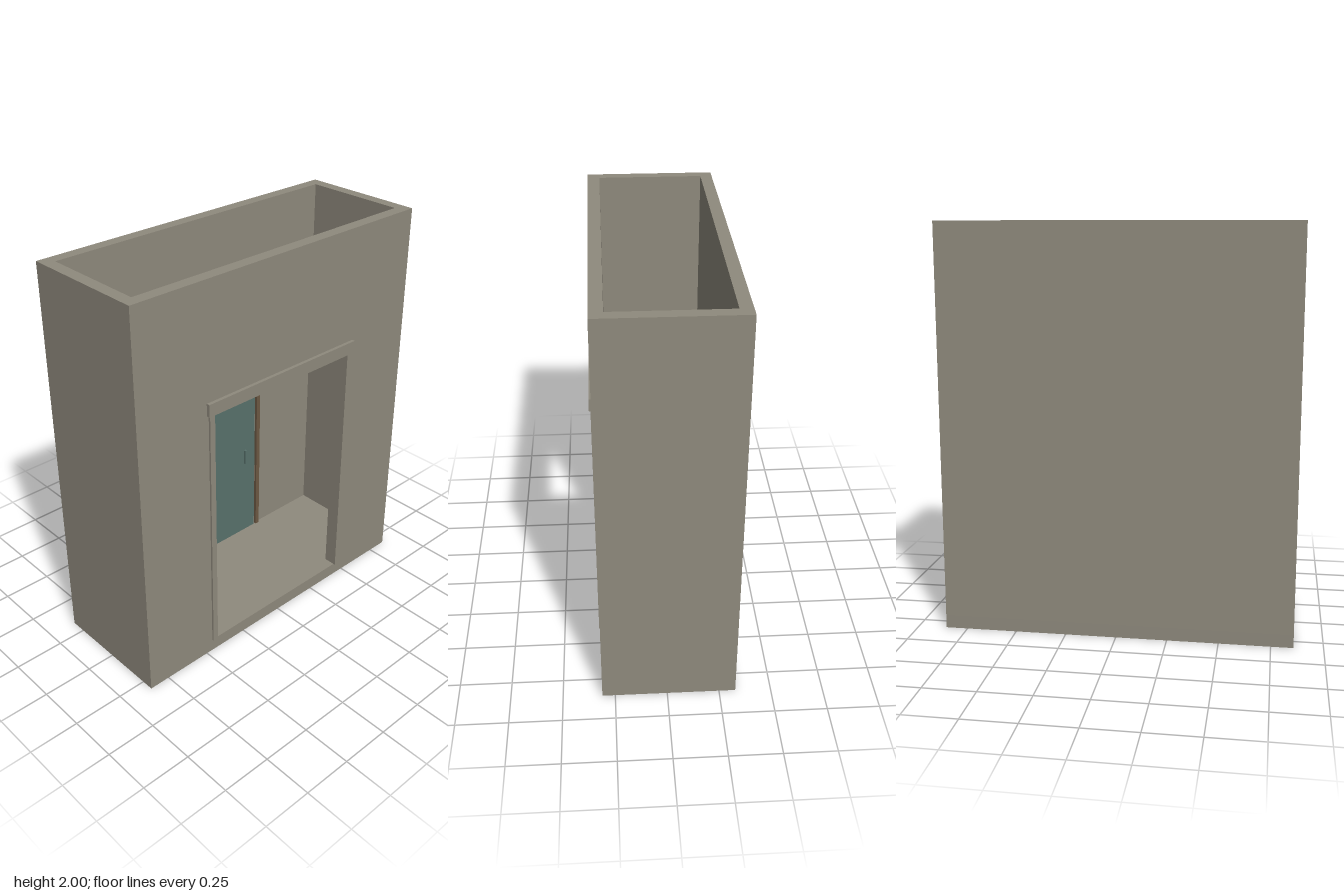
import * as THREE from 'three';

const stone = new THREE.MeshStandardMaterial({ color: 0x8f8a7d });
stone.name = 'stone';
const wood = new THREE.MeshStandardMaterial({ color: 0x6b5843 });
wood.name = 'brown wood';
const teal = new THREE.MeshStandardMaterial({ color: 0x58716b });
teal.name = 'teal paint';

// Box given by its minimum and maximum corners
function block(name, material, [x0, y0, z0], [x1, y1, z1]) {
  const mesh = new THREE.Mesh(new THREE.BoxGeometry(x1 - x0, y1 - y0, z1 - z0), material);
  mesh.position.set((x0 + x1) / 2, (y0 + y1) / 2, (z0 + z1) / 2);
  mesh.name = name;
  return mesh;
}

export function createModel() {
  const model = new THREE.Group();
  model.name = 'entranceRoom';

  const W = 0.858, IN = 0.8;            // outer and inner half widths
  const FRONT = 0.312, BACK = -0.329;   // outer wall faces
  const INFRONT = 0.252, INBACK = -0.271;
  const FLOOR = 0.066, TOP = 2;
  const OPEN = 0.434, HEAD = 1.362;     // doorway half width and height

  // Floor slab
  model.add(block('floorSlab', stone, [-W, 0, BACK], [W, FLOOR, FRONT]));

  // Back and side walls
  model.add(block('backWall', stone, [-W, FLOOR, BACK], [W, TOP, INBACK]));
  for (const [side, a, b] of [['left', IN, W], ['right', -W, -IN]]) {
    model.add(block(side + 'Wall', stone, [a, FLOOR, INBACK], [b, TOP, INFRONT]));
  }

  // Front wall with the open doorway cut from its lower edge
  const outline = new THREE.Shape([
    [-W, FLOOR], [-OPEN, FLOOR], [-OPEN, HEAD], [OPEN, HEAD],
    [OPEN, FLOOR], [W, FLOOR], [W, TOP], [-W, TOP],
  ].map(([x, y]) => new THREE.Vector2(x, y)));
  const frontWall = new THREE.Mesh(
    new THREE.ExtrudeGeometry(outline, { depth: FRONT - INFRONT, bevelEnabled: false }), stone);
  frontWall.position.z = INFRONT;
  frontWall.name = 'frontWall';
  model.add(frontWall);

  // Doorway trim
  const trim = new THREE.Group();
  trim.name = 'doorwayTrim';
  trim.add(block('leftPost', stone, [OPEN, FLOOR, FRONT], [0.463, HEAD, 0.322]));
  trim.add(block('rightPost', stone, [-0.463, FLOOR, FRONT], [-OPEN, HEAD, 0.322]));
  trim.add(block('lintel', stone, [-0.473, HEAD, FRONT], [0.473, 1.425, 0.329]));
  model.add(trim);

  // Inner door on the back wall
  const door = new THREE.Group();
  door.name = 'innerDoor';
  const zFrame = INBACK + 0.015, zLeaf = INBACK + 0.008;
  door.add(block('rightJamb', wood, [-0.155, FLOOR, INBACK], [-0.131, 1.157, zFrame]));
  door.add(block('leftJamb', wood, [0.381, FLOOR, INBACK], [0.405, 1.157, zFrame]));
  door.add(block('doorHead', wood, [-0.155, 1.157, INBACK], [0.405, 1.185, zFrame]));
  door.add(block('doorLeaf', teal, [-0.122, FLOOR, INBACK], [0.372, 1.145, zLeaf]));
  door.add(block('doorHandle', teal, [0.291, 0.52, zLeaf], [0.304, 0.605, zLeaf + 0.012]));
  model.add(door);

  return model;
}
